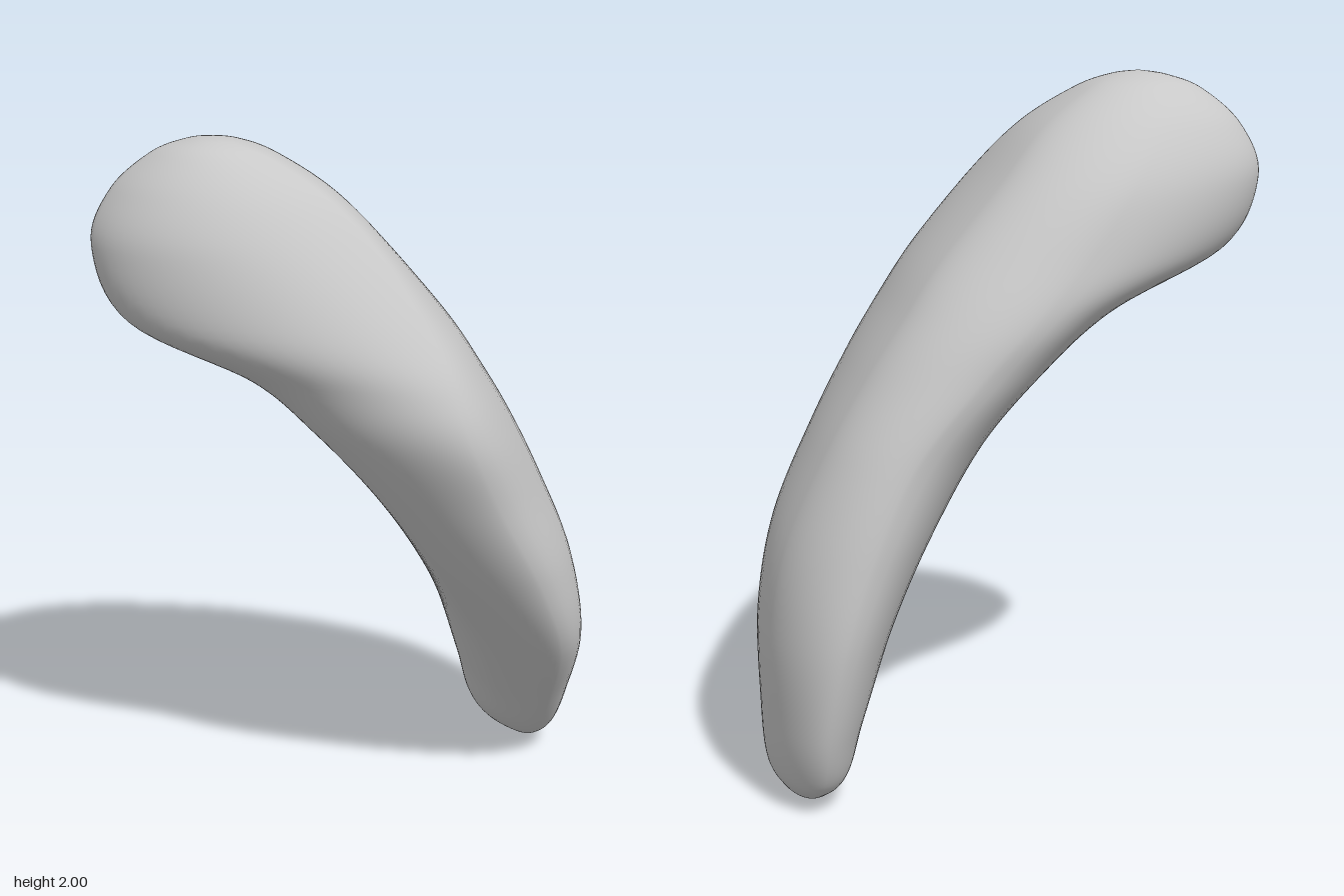
import * as THREE from 'three';

// Horizontal sections from bottom to top:
// [y, front x,z, right x,z, back x,z, left x,z]
const SECTIONS = [
  [0.0, 0.63, -0.2, 0.63, -0.2, 0.63, -0.2, 0.63, -0.2],
  [0.008, 0.61, -0.11, 0.665, -0.2, 0.635, -0.27, 0.595, -0.2],
  [0.035, 0.6, -0.02, 0.7, -0.2, 0.64, -0.34, 0.55, -0.18],
  [0.1, 0.58, 0.07, 0.732, -0.2, 0.64, -0.42, 0.495, -0.12],
  [0.25, 0.53, 0.2, 0.745, -0.24, 0.64, -0.48, 0.42, 0.0],
  [0.5, 0.44, 0.385, 0.745, -0.27, 0.6, -0.525, 0.27, 0.15],
  [0.75, 0.3, 0.475, 0.7, -0.28, 0.52, -0.533, 0.09, 0.25],
  [1.0, 0.14, 0.52, 0.59, -0.3, 0.4, -0.53, -0.1, 0.27],
  [1.2, 0.03, 0.55, 0.47, -0.3, 0.23, -0.54, -0.27, 0.22],
  [1.35, -0.02, 0.52, 0.365, -0.3, 0.08, -0.547, -0.42, 0.12],
  [1.5, -0.06, 0.44, 0.25, -0.28, -0.07, -0.53, -0.69, -0.1],
  [1.7, -0.13, 0.3, 0.06, -0.25, -0.24, -0.49, -0.75, -0.21],
  [1.85, -0.23, 0.175, -0.09, -0.2, -0.36, -0.41, -0.69, -0.22],
  [1.95, -0.34, 0.05, -0.24, -0.17, -0.42, -0.31, -0.585, -0.18],
  [1.988, -0.4, -0.04, -0.34, -0.14, -0.43, -0.225, -0.495, -0.14],
  [2.0, -0.42, -0.13, -0.42, -0.13, -0.42, -0.13, -0.42, -0.13],
];
// Fullness of each quarter at even steps of height
const FULLNESS = {
  broadFace: [0.5, 0.44, 0.44, 0.45, 0.5],
  backRim: [0.55, 0.53, 0.53, 0.53, 0.55],
  hollowBack: [0.55, 0.52, 0.5, 0.52, 0.55, 0.6, 0.58, 0.58, 0.55],
  hollowFront: [0.5, 0.4, 0.25, 0.16, 0.12, 0.18, 0.48, 0.56, 0.55],
  frontRim: [0.5, 0.46, 0.44, 0.44, 0.44, 0.42, 0.42, 0.54, 0.58],
};

// Smooth edge line running up one side of the body (0 front, 1 right, 2 back, 3 left)
function edgeLine(side) {
  const points = SECTIONS.map((s) => new THREE.Vector3(s[1 + 2 * side], s[0], s[2 + 2 * side]));
  return new THREE.CatmullRomCurve3(points, false, 'catmullrom', 0.5);
}

// Smoothly varying fullness, read by height from 0 to 1
function fullnessAt(values) {
  const curve = new THREE.SplineCurve(values.map((k) => new THREE.Vector2(k, 0)));
  return (height) => curve.getPoint(height).x;
}

// Quarter of a section: leaves each end along its axis, ka and kb set how full it is
function quarter(a, b, side, ka, kb) {
  const corner = side % 2 === 0
    ? new THREE.Vector3(b.x, a.y, a.z)
    : new THREE.Vector3(a.x, a.y, b.z);
  return new THREE.CubicBezierCurve3(a, a.clone().lerp(corner, ka), b.clone().lerp(corner, kb), b);
}

function bodyGeometry(rows = 120, steps = 20) {
  const edges = [0, 1, 2, 3].map(edgeLine);
  const broad = fullnessAt(FULLNESS.broadFace);
  const back = fullnessAt(FULLNESS.backRim);
  const hollowBack = fullnessAt(FULLNESS.hollowBack);
  const hollowFront = fullnessAt(FULLNESS.hollowFront);
  const front = fullnessAt(FULLNESS.frontRim);
  const quarters = [[broad, broad], [back, back], [hollowBack, hollowFront], [front, front]];
  const positions = [];
  const indices = [];
  const ring = steps * 4;

  for (let i = 0; i <= rows; i++) {
    const ends = edges.map((e) => e.getPoint(i / rows));
    const height = THREE.MathUtils.clamp(ends[0].y / 2, 0, 1);
    quarters.forEach(([ka, kb], side) => {
      const curve = quarter(ends[side], ends[(side + 1) % 4], side, ka(height), kb(height));
      for (let j = 0; j < steps; j++) positions.push(...curve.getPoint(j / steps).toArray());
    });
  }
  for (let i = 0; i < rows; i++) {
    for (let j = 0; j < ring; j++) {
      const a = i * ring + j;
      const b = i * ring + (j + 1) % ring;
      if (i > 0) indices.push(a, b, b + ring);
      if (i < rows - 1) indices.push(a, b + ring, a + ring);
    }
  }

  const geometry = new THREE.BufferGeometry();
  geometry.setAttribute('position', new THREE.Float32BufferAttribute(positions, 3));
  geometry.setIndex(indices);
  geometry.computeVertexNormals();
  // Both tips are single points, so give them plain vertical normals
  const normals = geometry.attributes.normal;
  for (let j = 0; j < ring; j++) {
    normals.setXYZ(j, 0, -1, 0);
    normals.setXYZ(rows * ring + j, 0, 1, 0);
  }
  return geometry;
}

export function createModel() {
  const grey = new THREE.MeshStandardMaterial({ color: 0xc8c8c8 });
  grey.name = 'grey';

  const body = new THREE.Mesh(bodyGeometry(), grey);
  body.name = 'curvedBody';

  const model = new THREE.Group();
  model.name = 'curvedPebble';
  model.add(body);
  return model;
}
